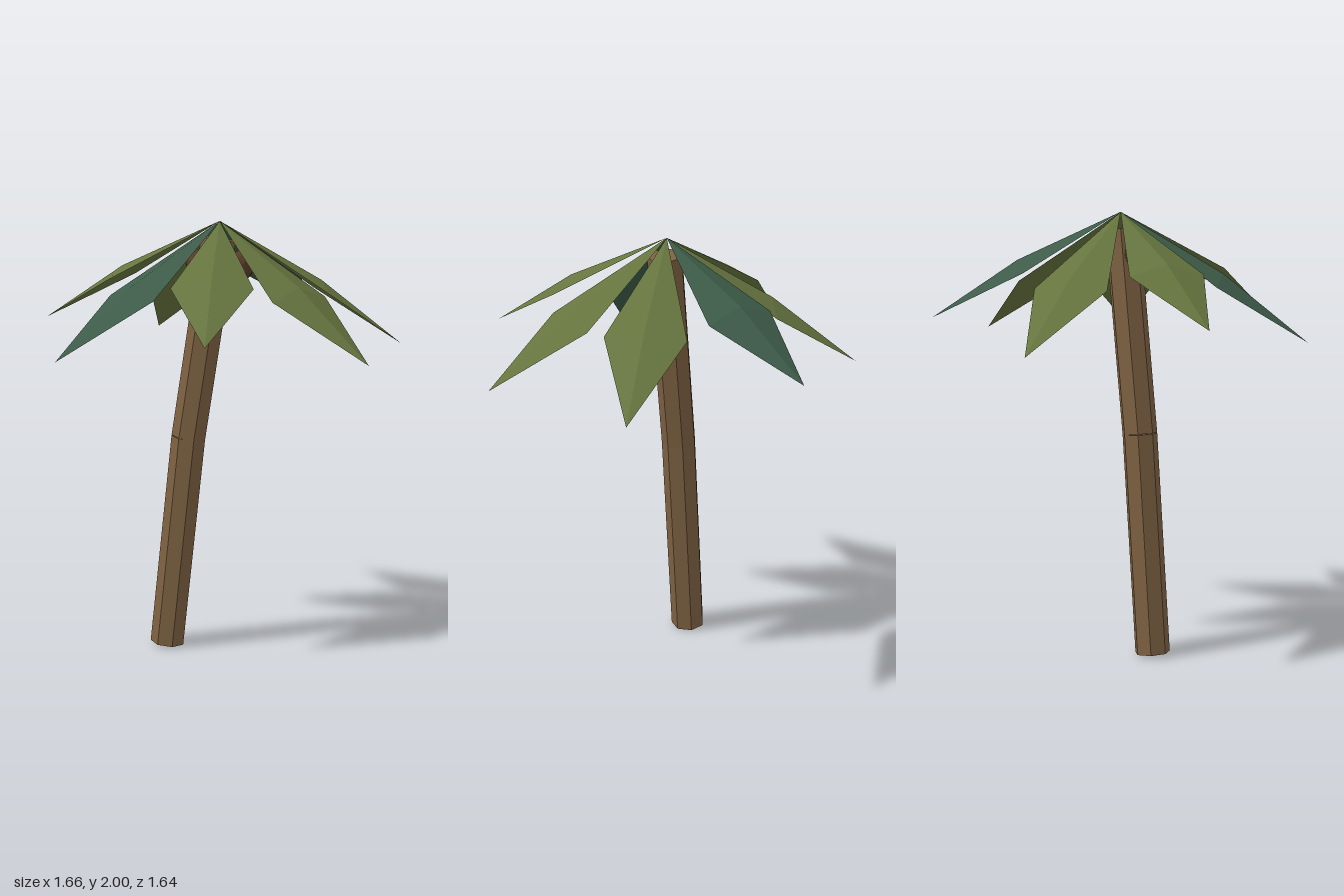
import * as THREE from 'three';

const material = (color, side = THREE.FrontSide) =>
  new THREE.MeshStandardMaterial({ color, flatShading: true, side });

const BARK = material(0x7d6142);
const NUT = material(0x5a3c2c);
const GREEN = material(0x66753f, THREE.DoubleSide);
const TEAL = material(0x3e5c4a, THREE.DoubleSide);

// Seven-sided log running from point a to point b
function trunkSegment(name, a, b) {
  const axis = b.clone().sub(a);
  const geometry = new THREE.CylinderGeometry(0.081, 0.081, axis.length(), 7, 1, false, Math.PI);
  const mesh = new THREE.Mesh(geometry, BARK);
  mesh.position.copy(a).add(b).multiplyScalar(0.5);
  mesh.quaternion.setFromUnitVectors(new THREE.Vector3(0, 1, 0), axis.normalize());
  mesh.name = name;
  return mesh;
}

// Kite-shaped leaf along +z from its root, creased along the middle and bent at its widest point
function leafGeometry(ridgeDrop, edgeDrop, tipDrop) {
  const geometry = new THREE.BufferGeometry();
  geometry.setAttribute('position', new THREE.Float32BufferAttribute([
    0, 0, 0,
    -0.176, -edgeDrop, 0.47,
    0, -ridgeDrop, 0.47,
    0.176, -edgeDrop, 0.47,
    0, -tipDrop, 0.853,
  ], 3));
  geometry.setIndex([0, 1, 2, 0, 2, 3, 1, 4, 2, 2, 4, 3]);
  const flat = geometry.toNonIndexed();
  flat.computeVertexNormals();
  return flat;
}

export function createModel() {
  const tree = new THREE.Group();
  tree.name = 'palmTree';

  // Trunk, leaning more above the joint
  const base = new THREE.Vector3(-0.24, 0.009, -0.027);
  const joint = new THREE.Vector3(-0.133, 1.008, -0.027);
  const top = new THREE.Vector3(0.008, 1.92, -0.027);
  tree.add(trunkSegment('lowerTrunk', base, joint), trunkSegment('upperTrunk', joint, top));

  // Coconuts under the crown
  const nutGeometry = new THREE.IcosahedronGeometry(0.07, 1);
  [[0.1, 1.8, -0.02], [-0.07, 1.81, 0]].forEach((p, i) => {
    const nut = new THREE.Mesh(nutGeometry, NUT);
    nut.position.set(...p);
    nut.name = `coconut${i + 1}`;
    tree.add(nut);
  });

  // Crown of seven leaves, some raised and some drooping, each aimed at its tip (x, z)
  const raised = leafGeometry(0.21, 0.26, 0.46);
  const drooping = leafGeometry(0.27, 0.32, 0.57);
  const crown = new THREE.Group();
  crown.name = 'crown';
  crown.position.set(0.01, 2, -0.035);
  [
    [0.075, 0.82, raised, GREEN],
    [0.71, 0.45, drooping, GREEN],
    [0.825, -0.28, drooping, GREEN],
    [0.325, -0.825, raised, TEAL],
    [-0.41, -0.77, drooping, GREEN],
    [-0.83, -0.16, raised, GREEN],
    [-0.61, 0.55, drooping, TEAL],
  ].forEach(([x, z, geometry, mat], i) => {
    const leaf = new THREE.Mesh(geometry, mat);
    leaf.rotation.y = Math.atan2(x - 0.01, z + 0.035);
    leaf.name = `leaf${i + 1}`;
    crown.add(leaf);
  });
  tree.add(crown);

  return tree;
}
